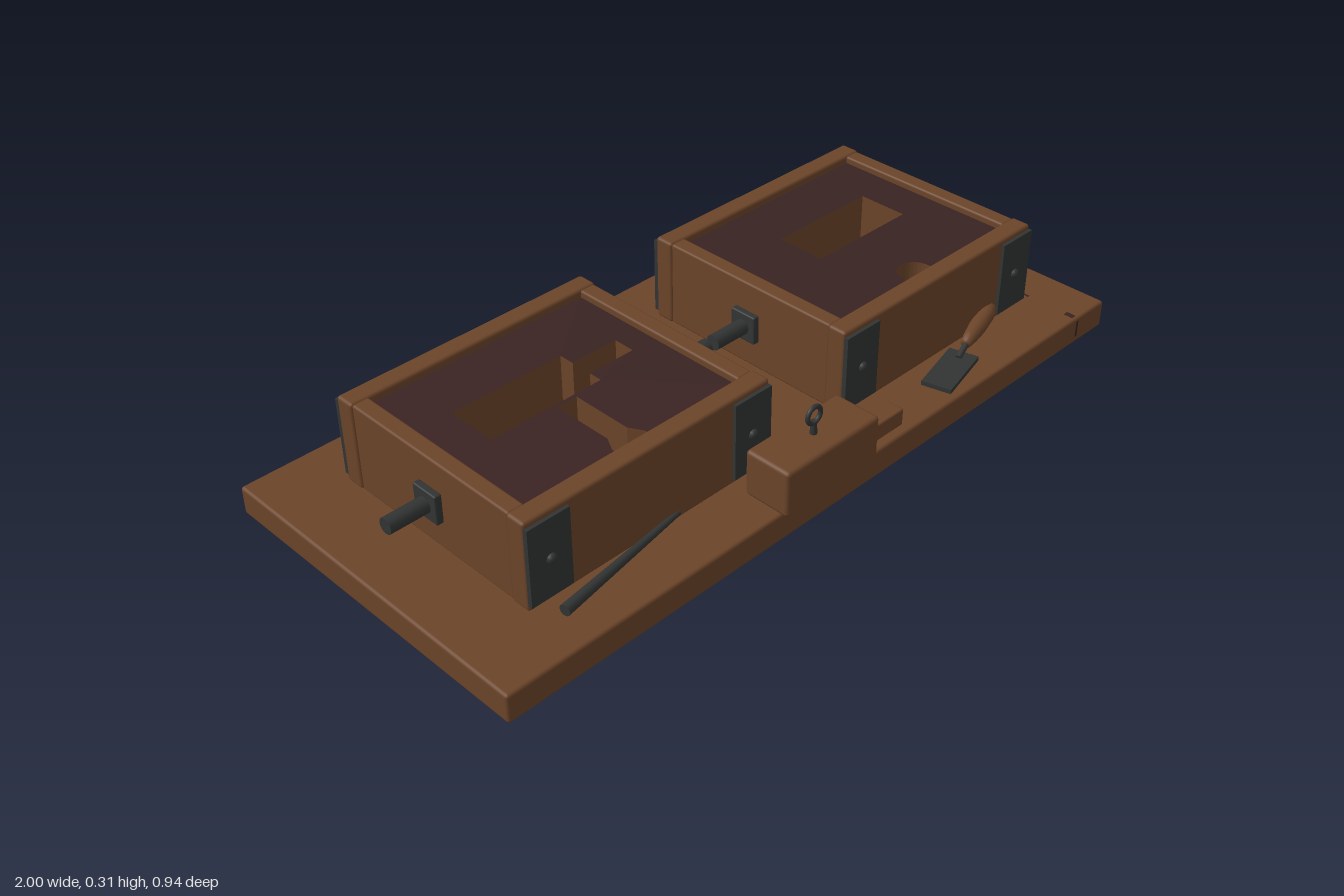
import * as THREE from 'three';
import { RoundedBoxGeometry } from 'three/addons/geometries/RoundedBoxGeometry.js';

const wood = new THREE.MeshStandardMaterial({ color: 0x6b4429 });
const sand = new THREE.MeshStandardMaterial({ color: 0x3a2323 });
const iron = new THREE.MeshStandardMaterial({ color: 0x323434 });
wood.name = 'wood';
sand.name = 'moulding sand';
iron.name = 'dark iron';

const BOARD_TOP = 0.075, RIM = 0.305, SAND_TOP = 0.285;
const Y = new THREE.Vector3(0, 1, 0);

function add(parent, name, geometry, material, x = 0, y = 0, z = 0) {
  const mesh = new THREE.Mesh(geometry, material);
  mesh.name = name;
  mesh.position.set(x, y, z);
  parent.add(mesh);
  return mesh;
}

// Box given by its extents; r > 0 rounds the edges
function block(parent, name, material, [x0, x1], [y0, y1], [z0, z1], r = 0) {
  const s = [x1 - x0, y1 - y0, z1 - z0];
  const g = r ? new RoundedBoxGeometry(...s, 2, r) : new THREE.BoxGeometry(...s);
  return add(parent, name, g, material, (x0 + x1) / 2, (y0 + y1) / 2, (z0 + z1) / 2);
}

// Tapered rod between two points
function rod(parent, name, material, a, b, r0, r1 = r0) {
  const p = new THREE.Vector3(...a), q = new THREE.Vector3(...b);
  const d = q.clone().sub(p);
  const mesh = add(parent, name, new THREE.CylinderGeometry(r1, r0, d.length(), 16), material);
  mesh.position.copy(p).add(q).multiplyScalar(0.5);
  mesh.quaternion.setFromUnitVectors(Y, d.normalize());
  return mesh;
}

// Hole outline from [x, z] corners
const outline = pts => new THREE.Path(pts.map(([x, z]) => new THREE.Vector2(x, -z)));

// Moulding box centred on x = cx; front notch cuts the sand edge, cavity is a hole
function flask(name, cx, notch, cavity) {
  const g = new THREE.Group();
  g.name = name;
  g.position.x = cx;
  const W = 0.353, zf = 0.3, zb = -0.32;

  // Wooden frame
  block(g, 'frontWall', wood, [-W, W], [BOARD_TOP, RIM], [0.247, zf], 0.008);
  block(g, 'backWall', wood, [-W, W], [BOARD_TOP, RIM], [zb, -0.267], 0.008);
  for (const s of [-1, 1]) {
    const xs = [s * 0.305, s * (W - 0.004)].sort((a, b) => a - b);
    block(g, 'sideWall', wood, xs, [BOARD_TOP, RIM - 0.002], [-0.27, 0.25], 0.006);

    // Trunnion with its square plate
    const p = [s * (W - 0.005), s * (W + 0.014)].sort((a, b) => a - b);
    block(g, 'trunnionPlate', iron, p, [0.152, 0.228], [-0.046, 0.03], 0.004);
    rod(g, 'trunnion', iron, [s * W, 0.19, -0.008], [s * 0.468, 0.19, -0.008], 0.02);

    // Corner straps with rivets, front and back
    for (const [z, d] of [[zf, 1], [zb, -1]]) {
      const zs = [z - d * 0.004, z + d * 0.009].sort((a, b) => a - b);
      const sx = [s * 0.238, s * 0.351].sort((a, b) => a - b);
      block(g, 'cornerStrap', iron, sx, [0.09, 0.292], zs);
      const rivet = add(g, 'rivet', new THREE.SphereGeometry(0.013, 12, 8), iron, s * 0.293, 0.19, z + d * 0.009);
      rivet.scale.z = 0.85;
    }
  }

  // Packed sand with the pattern's cavity
  const shape = new THREE.Shape([[-0.31, -0.27], [-0.31, 0.25], ...notch, [0.31, 0.25], [0.31, -0.27]]
    .map(([x, z]) => new THREE.Vector2(x, -z)));
  shape.holes.push(outline(cavity));
  const packed = new THREE.ExtrudeGeometry(shape, { depth: SAND_TOP - 0.09, bevelEnabled: false });
  packed.rotateX(-Math.PI / 2);
  add(g, 'sandMould', packed, [sand, wood], 0, 0.09, 0);
  block(g, 'cavityFloor', sand, [-0.31, 0.31], [0.077, 0.092], [-0.27, 0.25]);
  return g;
}

export function createModel() {
  const model = new THREE.Group();
  model.name = 'castingBench';

  // Base board
  block(model, 'baseBoard', wood, [-1, 1], [0, BOARD_TOP], [-0.47, 0.45], 0.008);

  // Short cracks in the board
  for (const [x, z0, z1, w] of [[0.88, -0.35, -0.25, 0.005], [0.882, -0.09, -0.04, 0.012],
    [0.88, 0.24, 0.3, 0.006], [0.88, 0.415, 0.44, 0.014], [0.075, -0.425, -0.395, 0.006]]) {
    block(model, 'crack', sand, [x - w / 2, x + w / 2], [0.073, 0.076], [z0, z1]);
  }
  block(model, 'edgeCrack', sand, [0.88, 0.888], [0.02, 0.066], [0.448, 0.451]);

  // Left-hand box: cavity with runner, and a flared pouring channel
  model.add(flask('runnerFlask', -0.463,
    [[-0.047, 0.25], [-0.047, 0.225], [-0.028, 0.19], [-0.028, 0.03],
      [0.028, 0.03], [0.028, 0.19], [0.047, 0.225], [0.047, 0.25]],
    [[-0.202, -0.115], [0.108, -0.115], [0.108, -0.073], [0.238, -0.073],
      [0.238, -0.016], [0.108, -0.016], [0.108, 0.02], [-0.202, 0.02]]));

  // Right-hand box: plain cavity and a round pouring notch
  const arc = [];
  for (let i = 0; i <= 16; i++) {
    const a = Math.PI * (1 - i / 16);
    arc.push([-0.003 + 0.046 * Math.cos(a), 0.223 - 0.046 * Math.sin(a)]);
  }
  model.add(flask('plainFlask', 0.493, [[-0.049, 0.25], ...arc, [0.043, 0.25]],
    [[-0.118, -0.115], [0.195, -0.115], [0.195, 0.02], [-0.118, 0.02]]));

  // Wooden pattern with lifting eye
  const pattern = new THREE.Group();
  pattern.name = 'pattern';
  block(pattern, 'patternBody', wood, [-0.23, 0.072], [BOARD_TOP, 0.196], [0.342, 0.47], 0.01);
  block(pattern, 'patternCore', wood, [0.065, 0.21], [0.08, 0.126], [0.38, 0.43], 0.005);
  rod(pattern, 'eyeStem', iron, [-0.08, 0.19, 0.406], [-0.08, 0.23, 0.406], 0.009, 0.007);
  add(pattern, 'eyeRing', new THREE.TorusGeometry(0.021, 0.006, 10, 24), iron, -0.08, 0.245, 0.406);
  model.add(pattern);

  // Trowel
  const trowel = new THREE.Group();
  trowel.name = 'trowel';
  const blade = block(trowel, 'trowelBlade', iron, [0.377, 0.543], [0.076, 0.088], [0.333, 0.411]);
  blade.rotation.y = 0.25;
  rod(trowel, 'trowelTang', iron, [0.51, 0.088, 0.357], [0.57, 0.108, 0.342], 0.008);
  const grip = new THREE.LatheGeometry([[0, 0], [0.013, 0], [0.018, 0.03], [0.022, 0.08],
    [0.021, 0.14], [0.015, 0.172], [0, 0.18]].map(p => new THREE.Vector2(...p)), 16);
  const handle = add(trowel, 'trowelHandle', grip, wood, 0.55, 0.106, 0.347);
  handle.quaternion.setFromUnitVectors(Y, new THREE.Vector3(0.17, 0.008, -0.05).normalize());
  model.add(trowel);

  // Vent rod lying on the board
  rod(model, 'ventRod', iron, [-0.77, 0.09, 0.358], [-0.39, 0.09, 0.298], 0.014, 0.007);

  return model;
}
